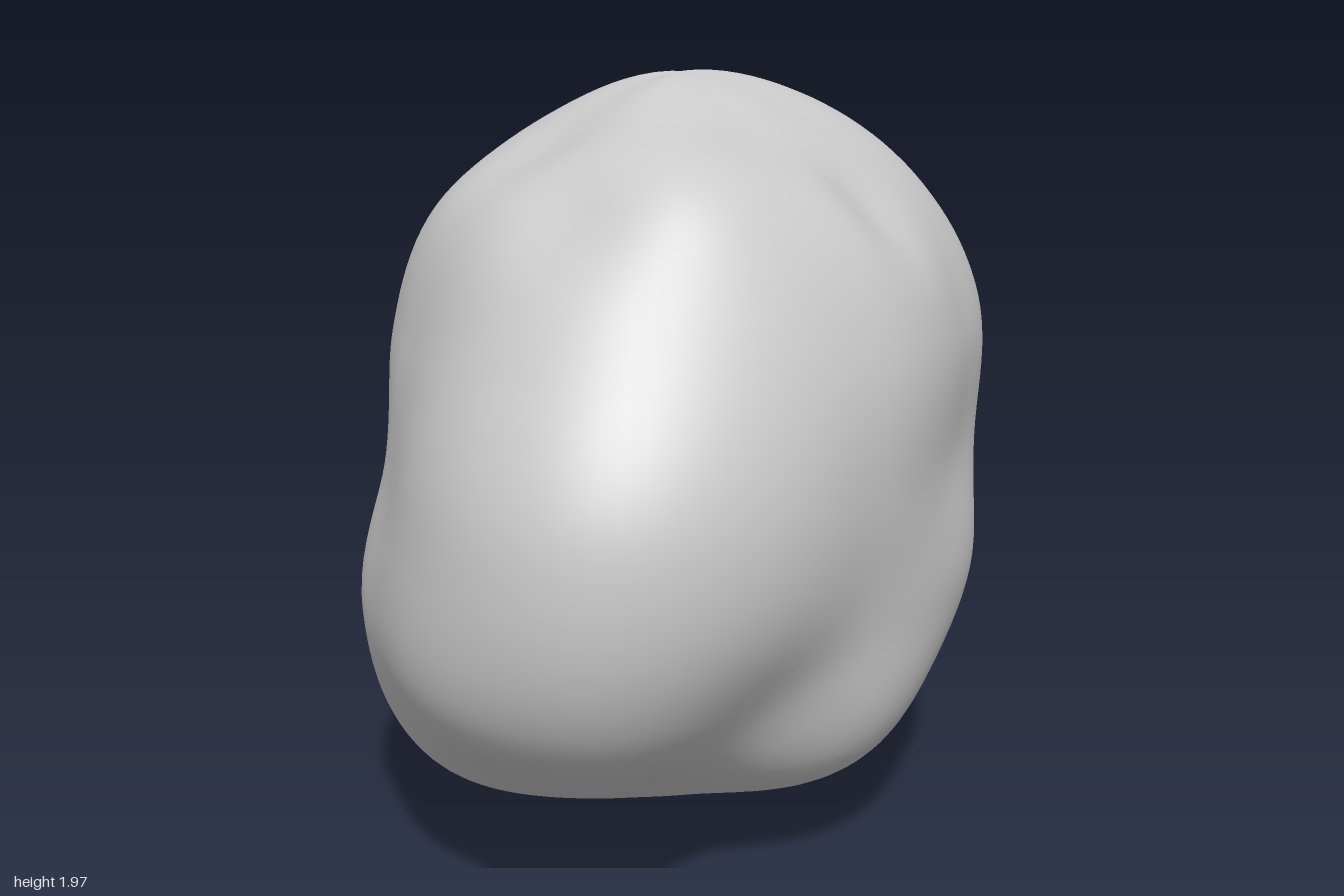
import * as THREE from 'three';
import { mergeVertices } from 'three/addons/utils/BufferGeometryUtils.js';

const RAD = Math.PI / 180;

// Radii from the centre. Rows: latitude -90..90 in steps of 22.5 degrees.
// Columns: azimuth 0..315 in steps of 45 degrees, from +x towards +z.
const ROWS = [
  Array(8).fill(1.0),
  [0.96, 0.96, 0.95, 0.97, 1.02, 0.99, 0.96, 0.92],
  [0.93, 0.92, 1.00, 1.00, 1.08, 0.98, 1.00, 0.88],
  [0.92, 0.86, 0.89, 1.20, 1.00, 0.85, 0.93, 1.04],
  [0.96, 0.76, 0.87, 1.20, 0.86, 0.75, 0.97, 1.08],
  [1.01, 0.82, 0.91, 1.08, 0.86, 0.82, 0.96, 1.01],
  [1.00, 0.88, 0.95, 1.02, 0.93, 0.88, 0.94, 0.98],
  [0.98, 0.91, 0.91, 0.95, 0.91, 0.92, 0.94, 0.96],
  Array(8).fill(0.965),
];

const direction = (lat, az) => new THREE.Vector3(
  Math.cos(lat * RAD) * Math.cos(az * RAD), Math.sin(lat * RAD), Math.cos(lat * RAD) * Math.sin(az * RAD));

// Local lumps (+) and hollows (-): latitude, azimuth, height, angular width
const DENTS = [
  [-33, 83, 0.02, 14],   // front lump
  [-27, 112, -0.05, 12], // hollow beside the front lump
  [-20, 156, 0.02, 12],  // low outer edge of the front corner
  [47, 120, 0.03, 11],   // ridge near the top
  [48, 70, -0.05, 11],   // grooves beside the ridge
  [42, 143, -0.03, 8],
  [58, 168, -0.02, 9],
  [-55, 300, -0.02, 14], // hollows under the back corner
  [-38, 335, -0.03, 14],
  [14, 342, 0.02, 14],   // blunt shoulders of the back corner
  [10, 288, 0.02, 14],
].map(([lat, az, height, width]) => ({ dir: direction(lat, az), height, width: width * RAD }));

function cubic(a, b, c, d, t) {
  return b + 0.5 * t * (c - a + t * (2 * a - 5 * b + 4 * c - d + t * (3 * (b - c) + d - a)));
}

// Smooth lookup around one row, wrapping at 360 degrees
function around(row, u) {
  const i = Math.floor(u), at = k => row[(i + k + 8) % 8];
  return cubic(at(-1), at(0), at(1), at(2), u - i);
}

// Smooth lookup over latitude, crossing each pole to the opposite side
function radius(dir) {
  const lat = Math.asin(THREE.MathUtils.clamp(dir.y, -1, 1)) / RAD;
  const u = ((Math.atan2(dir.z, dir.x) / RAD + 360) % 360) / 45;
  const v = (lat + 90) / 22.5, j = Math.min(Math.floor(v), 7);
  const at = k => {
    if (k < 0) return around(ROWS[-k], (u + 4) % 8);
    if (k > 8) return around(ROWS[16 - k], (u + 4) % 8);
    return around(ROWS[k], u);
  };
  let r = cubic(at(j - 1), at(j), at(j + 1), at(j + 2), v - j);
  for (const d of DENTS) r += d.height * Math.exp(-((dir.angleTo(d.dir) / d.width) ** 2));
  return r;
}

export function createModel() {
  const group = new THREE.Group();
  group.name = 'boulder';

  // Sphere pushed in and out along its radii, welded for smooth shading
  let geometry = new THREE.SphereGeometry(1, 128, 80);
  geometry.deleteAttribute('uv');
  geometry.deleteAttribute('normal');
  geometry = mergeVertices(geometry, 1e-5);
  const pos = geometry.attributes.position, p = new THREE.Vector3();
  for (let i = 0; i < pos.count; i++) {
    p.fromBufferAttribute(pos, i).normalize();
    p.multiplyScalar(radius(p));
    pos.setXYZ(i, p.x, p.y + 1, p.z);
  }
  geometry.computeVertexNormals();

  const rock = new THREE.Mesh(geometry, new THREE.MeshStandardMaterial({ color: 0xcccccc }));
  rock.name = 'rock';
  group.add(rock);
  return group;
}
